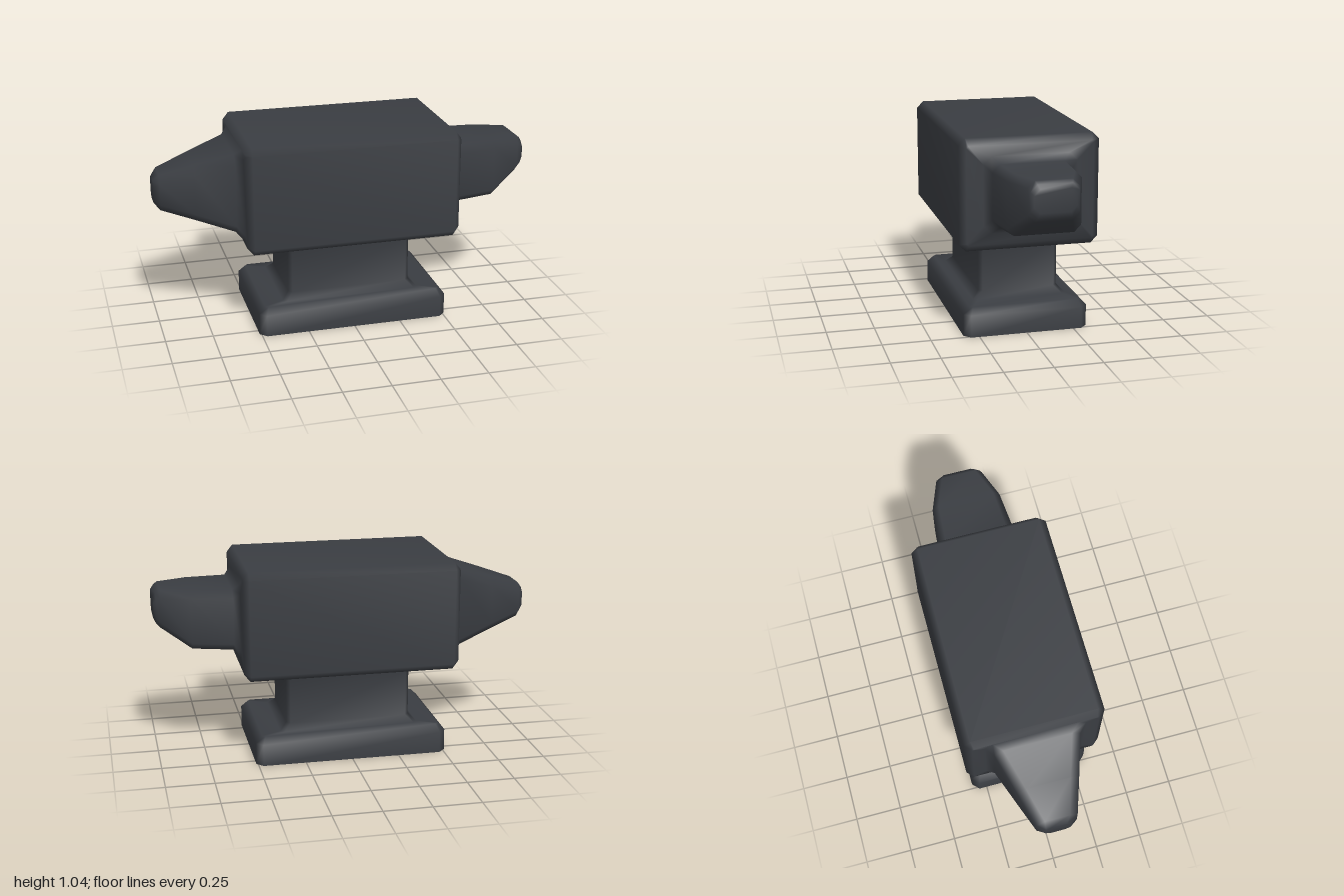
import * as THREE from 'three';

const steel = new THREE.MeshStandardMaterial({ color: 0x3a3d42, side: THREE.DoubleSide });

// Rectangle with cut corners, counter-clockwise, as [u, v] pairs
function cutRect(u0, u1, v0, v1, c) {
  return [
    [u1, v0 + c], [u1, v1 - c], [u1 - c, v1], [u0 + c, v1],
    [u0, v1 - c], [u0, v0 + c], [u0 + c, v0], [u1 - c, v0],
  ];
}

// Smooth skin over a list of rings of 3D points, with optional end caps
function loft(name, rings, capped) {
  const n = rings[0].length;
  const points = rings.flat();
  const index = [];
  for (let i = 0; i < rings.length - 1; i++) {
    for (let j = 0; j < n; j++) {
      const a = i * n + j, b = i * n + (j + 1) % n;
      index.push(a, b, b + n, a, b + n, a + n);
    }
  }
  if (capped) {
    const last = (rings.length - 1) * n;
    for (let j = 1; j < n - 1; j++) {
      index.push(0, j + 1, j);
      index.push(last, last + j, last + j + 1);
    }
  }
  const geometry = new THREE.BufferGeometry();
  geometry.setAttribute('position', new THREE.Float32BufferAttribute(points.flat(), 3));
  geometry.setIndex(index);
  geometry.computeVertexNormals();
  const mesh = new THREE.Mesh(geometry, steel);
  mesh.name = name;
  return mesh;
}

export function createModel() {
  const anvil = new THREE.Group();
  anvil.name = 'anvil';

  // Horn, body and heel in one run along x: x, bottom, top, half depth, corner cut
  const bodyRings = [
    [-1.0, 0.695, 0.815, 0.065, 0.025],
    [-0.97, 0.66, 0.85, 0.105, 0.04],
    [-0.8, 0.608, 0.905, 0.16, 0.045],
    [-0.6, 0.545, 0.965, 0.222, 0.045],
    [-0.565, 0.51, 1.0, 0.26, 0.04],
    [-0.567, 0.502, 1.005, 0.325, 0.01],
    [-0.535, 0.467, 1.04, 0.36, 0.035],
    [0.535, 0.467, 1.04, 0.36, 0.035],
    [0.565, 0.502, 1.005, 0.325, 0.01],
    [0.567, 0.56, 0.95, 0.24, 0.04],
    [0.6, 0.595, 0.915, 0.204, 0.04],
    [0.81, 0.61, 0.915, 0.185, 0.035],
    [0.965, 0.715, 0.915, 0.127, 0.035],
    [0.985, 0.735, 0.9, 0.12, 0.035],
    [1.0, 0.765, 0.88, 0.105, 0.03],
  ].map(([x, y0, y1, hz, c]) => cutRect(y0, y1, -hz, hz, c).map(([y, z]) => [x, y, z]));
  anvil.add(loft('bodyWithHornAndHeel', bodyRings, true));

  // Hollow foot and waist, open underneath: y, half width, half depth, corner cut
  const footRings = [
    [0, 0.51, 0.327, 0.035],
    [0.115, 0.51, 0.327, 0.035],
    [0.15, 0.475, 0.292, 0.015],
    [0.15, 0.37, 0.247, 0.02],
    [0.185, 0.332, 0.211, 0.02],
    [0.433, 0.332, 0.211, 0.02],
    [0.468, 0.37, 0.247, 0.02],
  ].map(([y, hx, hz, c]) => cutRect(-hz, hz, -hx, hx, c).map(([z, x]) => [x, y, z]));
  anvil.add(loft('footAndWaist', footRings, false));

  return anvil;
}
